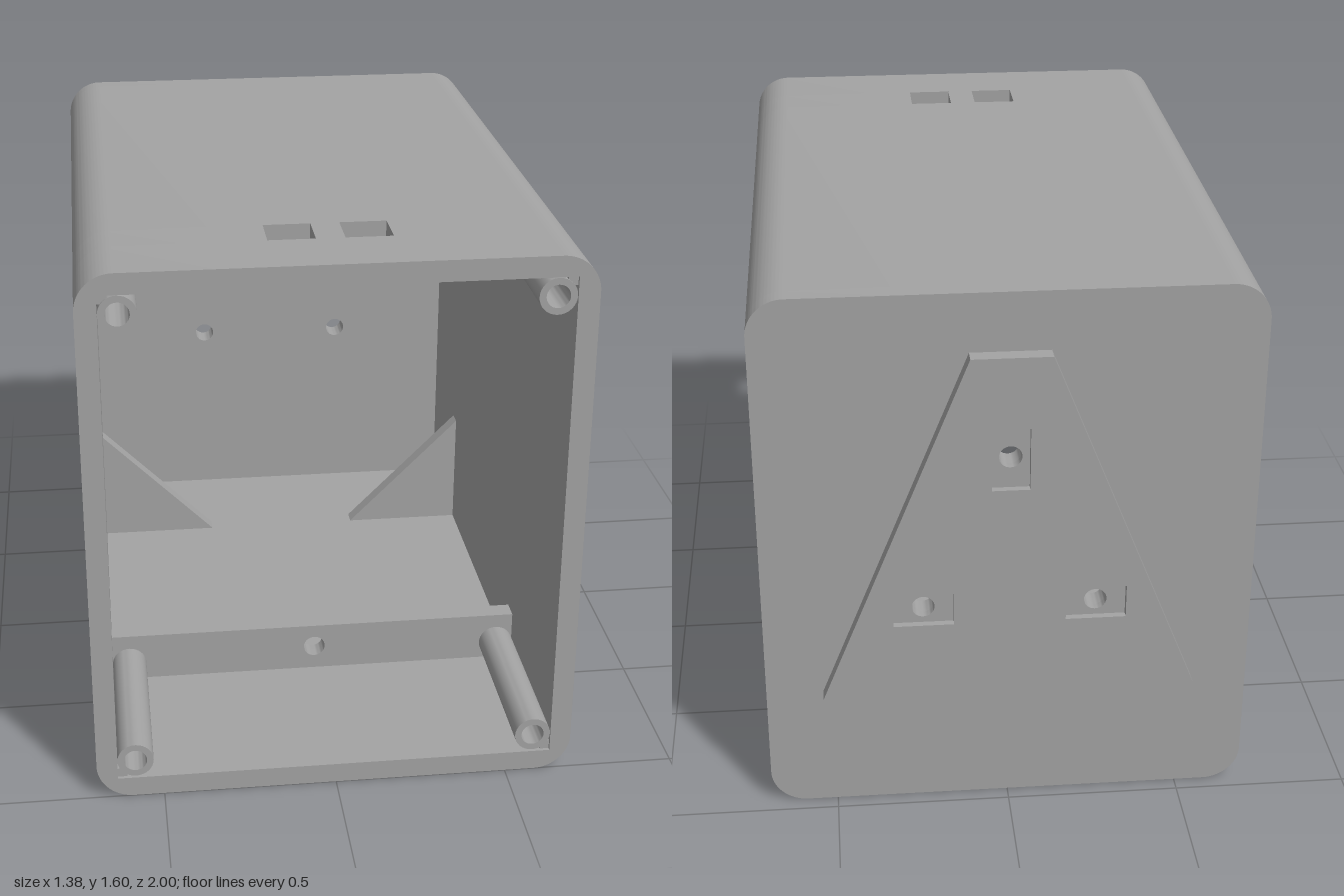
import * as THREE from 'three';
import { toCreasedNormals } from 'three/addons/utils/BufferGeometryUtils.js';

const W = 0.692, H = 1.6, R = 0.105;             // outer half width, height, corner radius
const IW = 0.632, Y0 = 0.06, Y1 = 1.54;          // cavity half width, floor and ceiling
const BACK = -0.956, INNER = -0.9;               // outer and inner face of the back wall
const material = new THREE.MeshStandardMaterial({ color: 0xa3a3a3 });

// Extrude a shape in z between two depths
function slab(group, name, shape, z0, z1) {
  const raw = new THREE.ExtrudeGeometry(shape, { depth: z1 - z0, bevelEnabled: false, curveSegments: 16 });
  const mesh = new THREE.Mesh(toCreasedNormals(raw, 0.6), material);
  mesh.name = name;
  mesh.position.z = z0;
  group.add(mesh);
}

const poly = (points) => new THREE.Shape(points.map(([x, y]) => new THREE.Vector2(x, y)));
const rect = (x0, y0, x1, y1) => poly([[x0, y0], [x1, y0], [x1, y1], [x0, y1]]);

function disc(x, y, r) {
  const s = new THREE.Shape();
  s.absarc(x, y, r, 0, Math.PI * 2, false);
  return s;
}

// Rounded outline, starting and ending on the top edge at x = -gap and x = gap
function outline(gap) {
  const s = new THREE.Shape();
  s.moveTo(-gap, H);
  s.lineTo(-W + R, H);
  s.absarc(-W + R, H - R, R, Math.PI / 2, Math.PI, false);
  s.absarc(-W + R, R, R, Math.PI, Math.PI * 1.5, false);
  s.absarc(W - R, R, R, Math.PI * 1.5, Math.PI * 2, false);
  s.absarc(W - R, H - R, R, 0, Math.PI / 2, false);
  s.lineTo(gap, H);
  return s;
}

export function createModel() {
  const model = new THREE.Group();
  model.name = 'plugHousing';

  // Side walls, split in depth around the two square openings in the top
  const shell = new THREE.Group();
  shell.name = 'shell';
  model.add(shell);
  const ring = outline(0);
  ring.holes.push(rect(-IW, Y0, IW, Y1));
  const zA = 0.662, zB = 0.79, gap = 0.171;
  slab(shell, 'rearWalls', ring, INNER, zA);
  slab(shell, 'frontWalls', ring, zB, 1);
  const open = outline(gap);
  for (const [x, y] of [[gap, Y1], [IW, Y1], [IW, Y0], [-IW, Y0], [-IW, Y1], [-gap, Y1]]) open.lineTo(x, y);
  slab(shell, 'openingWalls', open, zA, zB);
  slab(shell, 'openingDivider', rect(-0.04, Y1, 0.04, H), zA, zB);

  // Back wall and raised panel: round pin holes opening into shallow slots
  const trapezoid = () => poly([[-0.53, 0.38], [0.53, 0.38], [0.11, 1.43], [-0.11, 1.43]]);
  const back = outline(0), panelBase = trapezoid(), panelFace = trapezoid();
  for (const [x, y, w, h] of [[0, 1.128, 0.105, 0.185], [-0.242, 0.665, 0.17, 0.1], [0.242, 0.665, 0.17, 0.1]]) {
    back.holes.push(disc(x, y, 0.032));
    panelBase.holes.push(disc(x, y, 0.032));
    panelFace.holes.push(rect(x - w / 2, y - h / 2, x + w / 2, y + h / 2));
  }
  slab(shell, 'backWall', back, BACK, INNER);
  slab(model, 'raisedPanelBase', panelBase, -0.98, BACK);
  slab(model, 'raisedPanelFace', panelFace, -1, -0.98);

  // Bottom and top fittings, mirrored about mid height
  for (const top of [false, true]) {
    const fy = (y) => (top ? H - y : y);
    const side = top ? 'Top' : 'Bottom';

    // Cross plate with a screw hole
    const plate = rect(-IW, fy(Y0), IW, fy(0.21));
    plate.holes.push(disc(0, fy(0.137), 0.033));
    slab(model, 'crossPlate' + side, plate, 0.41, 0.47);

    for (const sx of [-1, 1]) {
      const suffix = side + (sx > 0 ? 'Left' : 'Right');

      // Hollow screw post running from the plate to the front rim
      const post = disc(sx * 0.58, fy(0.115), 0.052);
      post.holes.push(disc(sx * 0.58, fy(0.115), 0.033));
      slab(model, 'screwPost' + suffix, post, 0.47, 0.995);

      // Small block tying the post into the corner
      slab(model, 'postWeb' + suffix, rect(sx * 0.605, fy(Y0), sx * IW, fy(0.087)), 0.47, 0.99);

      // Triangular corner gusset deep in the cavity
      const gusset = poly([[sx * IW, fy(Y0)], [sx * IW, fy(0.44)], [sx * 0.252, fy(Y0)]]);
      slab(model, 'cornerGusset' + suffix, gusset, -0.555, -0.505);
    }
  }
  return model;
}
